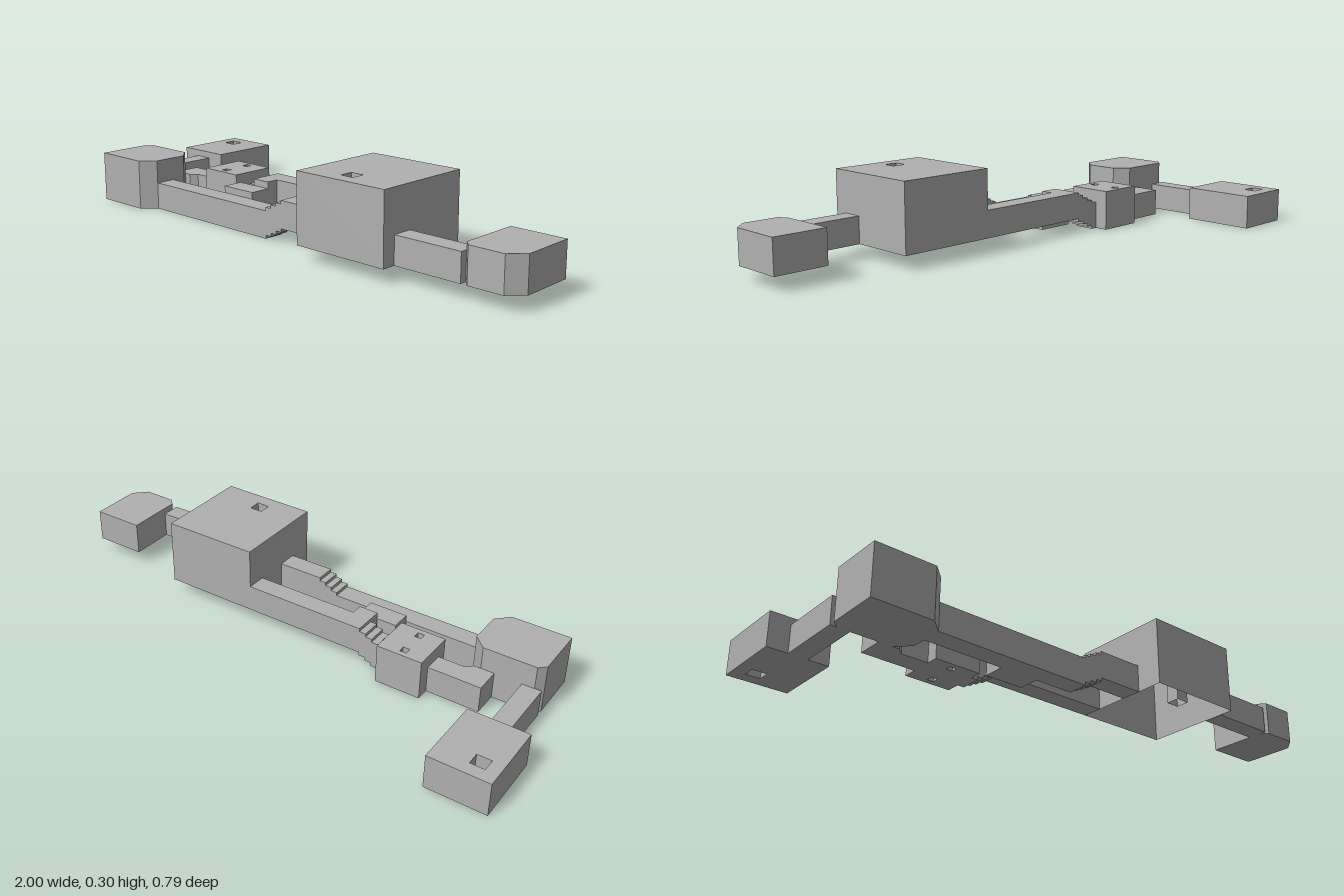
import * as THREE from 'three';

const stone = new THREE.MeshStandardMaterial({ color: 0xb0b0b0, side: THREE.DoubleSide });
stone.name = 'stoneGrey';

// Rectangle outline on the floor plan, as [x, z] corners
const rect = (x0, x1, z0, z1) => [[x0, z0], [x1, z0], [x1, z1], [x0, z1]];

// Outline from [x, y] pairs
const outline = (points, Type = THREE.Shape) =>
  new Type(points.map(([x, y]) => new THREE.Vector2(x, y)));

// Upright prism from a floor plan, with optional shafts and an optional open underside
function prism(name, plan, y0, y1, { shafts = [], openBelow = false } = {}) {
  const flip = (pts) => pts.map(([x, z]) => [x, -z]);
  const shape = outline(flip(plan));
  shape.holes = shafts.map((s) => outline(flip(s), THREE.Path));
  let geo = new THREE.ExtrudeGeometry(shape, { depth: y1 - y0, bevelEnabled: false });
  geo.rotateX(-Math.PI / 2).translate(0, y0, 0);
  if (openBelow) {
    const p = geo.attributes.position;
    const kept = [];
    for (let i = 0; i < p.count; i += 3) {
      const low = [0, 1, 2].every((k) => Math.abs(p.getY(i + k) - y0) < 1e-5);
      if (!low) for (let k = 0; k < 3; k++) kept.push(p.getX(i + k), p.getY(i + k), p.getZ(i + k));
    }
    geo = new THREE.BufferGeometry();
    geo.setAttribute('position', new THREE.Float32BufferAttribute(kept, 3));
    geo.computeVertexNormals();
  }
  const mesh = new THREE.Mesh(geo, stone);
  mesh.name = name;
  return mesh;
}

// Passage along x that climbs four steps, starting at stepX
function steppedPassage(name, x0, x1, z0, z1, stepX) {
  const top = [[x0, 0.1]];
  const bottom = [[x0, 0]];
  for (let i = 0; i < 4; i++) {
    const x = stepX + i * 0.025;
    const y = i * 0.0125;
    bottom.push([x, y], [x, y + 0.0125]);
    top.push([x, 0.1 + y], [x, 0.1 + y + 0.0125]);
  }
  bottom.push([x1, 0.05]);
  top.push([x1, 0.15]);
  const geo = new THREE.ExtrudeGeometry(outline([...bottom, ...top.reverse()]), {
    depth: z1 - z0, bevelEnabled: false,
  });
  geo.translate(0, 0, z0);
  const mesh = new THREE.Mesh(geo, stone);
  mesh.name = name;
  return mesh;
}

export function createModel() {
  const model = new THREE.Group();
  model.name = 'connectedRooms';

  model.add(
    // Back room and its passage
    prism('backRoom', rect(-1, -0.78, -0.397, -0.125), 0, 0.125,
      { shafts: [rect(-0.955, -0.903, -0.35, -0.303)] }),
    prism('backPassage', rect(-0.925, -0.855, -0.125, 0.125), 0, 0.1),

    // Corner room with cut corners
    prism('cornerRoom', [
      [-0.9, 0.123], [-0.705, 0.123], [-0.657, 0.17], [-0.657, 0.297],
      [-0.705, 0.345], [-0.925, 0.345], [-0.925, 0.148],
    ], 0, 0.185),

    // Two stepped passages towards the hall
    steppedPassage('frontPassage', -0.657, 0.185, 0.222, 0.297, -0.065),
    steppedPassage('rearPassage', -0.657, 0.185, 0.025, 0.1, -0.36),
    prism('rearPassageBend', [
      [-0.755, 0.025], [-0.657, 0.025], [-0.657, 0.1], [-0.68, 0.123], [-0.755, 0.123],
    ], 0, 0.1),

    // Room with two pillars' shafts on the rear passage
    prism('pillarRoom', rect(-0.557, -0.385, -0.025, 0.143), 0, 0.148, {
      shafts: [0.008, 0.11].map((z) => rect(-0.487, -0.462, z - 0.0125, z + 0.0125)),
    }),

    // Small room joining both passages
    prism('linkRoom', rect(-0.36, -0.213, 0.145, 0.222), 0, 0.125),
    prism('linkPassage', rect(-0.285, -0.213, 0.1, 0.145), 0.05, 0.15),

    // Great hall, open underneath, with a shaft
    prism('greatHall', rect(0.185, 0.552, 0.025, 0.395), 0.05, 0.297,
      { shafts: [rect(0.33, 0.38, 0.295, 0.343)], openBelow: true }),

    // End passage and end room with cut front corners
    prism('endPassage', rect(0.552, 0.802, 0.272, 0.345), 0.05, 0.148),
    prism('endRoom', [
      [0.802, 0.1], [1, 0.1], [1, 0.297], [0.952, 0.345], [0.825, 0.345], [0.802, 0.32],
    ], 0.05, 0.173),
  );
  return model;
}
